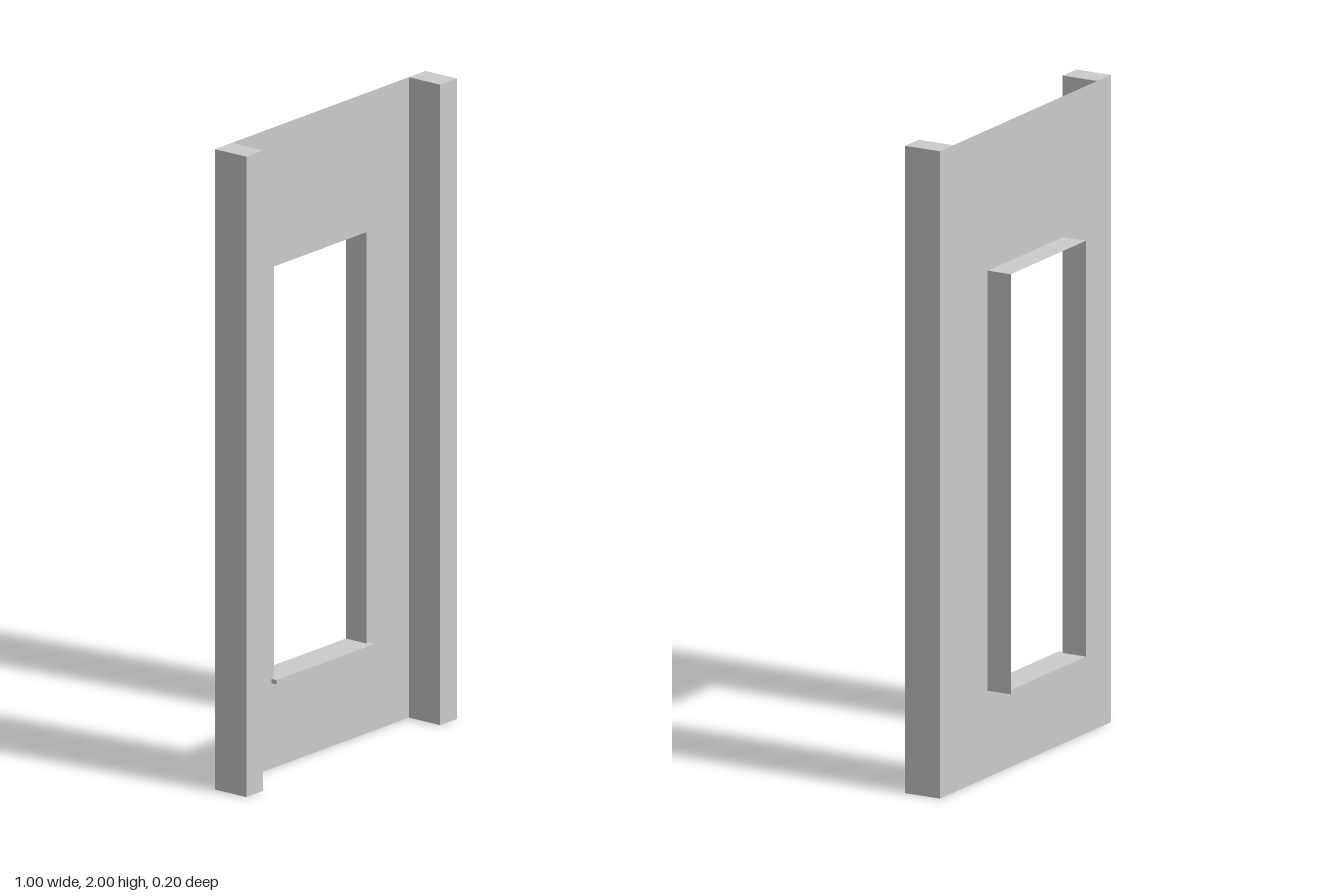
import * as THREE from 'three';

const material = new THREE.MeshStandardMaterial({ color: 0xcccccc, side: THREE.DoubleSide });

// Key measures: wall plane, back of the window frame, opening edges
const WALL_Z = -0.02, BACK_Z = -0.1;
const HALF_W = 0.22, BOTTOM = 0.267, TOP = 1.565, SILL_TOP = 0.28;

function rectangle(PathType, x0, y0, x1, y1) {
  return new PathType([[x0, y0], [x1, y0], [x1, y1], [x0, y1]].map(([x, y]) => new THREE.Vector2(x, y)));
}

export function createModel() {
  const group = new THREE.Group();
  const add = (name, geometry, x, y, z) => {
    const mesh = new THREE.Mesh(geometry, material);
    mesh.name = name;
    mesh.position.set(x, y, z);
    group.add(mesh);
    return mesh;
  };

  // Thin wall panel with the window opening
  const wall = rectangle(THREE.Shape, -0.42, 0, 0.42, 2);
  wall.holes.push(rectangle(THREE.Path, -HALF_W, BOTTOM, HALF_W, TOP));
  add('wallPanel', new THREE.ShapeGeometry(wall), 0, 0, WALL_Z);

  // Pillars and thin window jambs on both sides
  const depth = WALL_Z - BACK_Z, midZ = (WALL_Z + BACK_Z) / 2;
  for (const [side, s] of [['left', 1], ['right', -1]]) {
    add(side + 'Pillar', new THREE.BoxGeometry(0.08, 2, 0.12), s * 0.46, 1, 0.04);
    const jamb = add(side + 'Jamb', new THREE.PlaneGeometry(depth, TOP - BOTTOM), s * HALF_W, (TOP + BOTTOM) / 2, midZ);
    jamb.rotation.y = -s * Math.PI / 2;
  }

  // Thin head of the window opening
  const head = add('windowHead', new THREE.PlaneGeometry(HALF_W * 2, depth), 0, TOP, midZ);
  head.rotation.x = Math.PI / 2;

  // T-shaped sill: narrow in the opening, with a wider lip in front of the wall
  const sill = new THREE.Shape([
    [-HALF_W, -BACK_Z], [-HALF_W, -WALL_Z], [-0.232, -WALL_Z], [-0.232, 0],
    [0.232, 0], [0.232, -WALL_Z], [HALF_W, -WALL_Z], [HALF_W, -BACK_Z],
  ].map(([x, y]) => new THREE.Vector2(x, y)));
  const sillGeometry = new THREE.ExtrudeGeometry(sill, { depth: SILL_TOP - BOTTOM, bevelEnabled: false });
  sillGeometry.rotateX(-Math.PI / 2);
  add('windowSill', sillGeometry, 0, BOTTOM, 0);

  return group;
}
